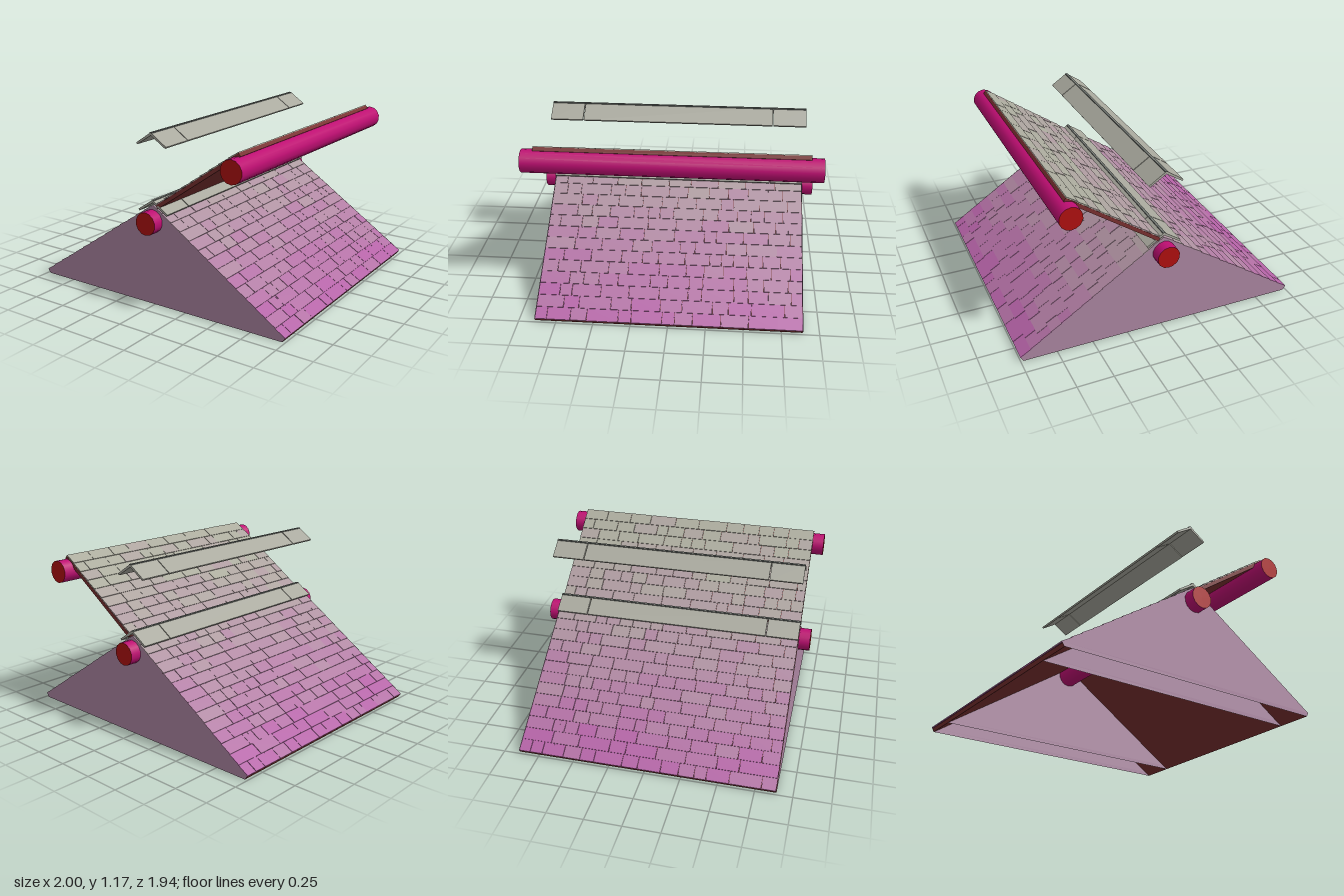
import * as THREE from 'three';
import { mergeGeometries } from 'three/addons/utils/BufferGeometryUtils.js';

const DEPTH = 1.78;              // roof length along z
const SLOPE = Math.atan(0.67);   // pitch of the roof
const mat = (color, extra = {}) => new THREE.MeshStandardMaterial({ color, ...extra });

const board = mat(0x7a3030);
const gable = mat(0xac86a2, { side: THREE.DoubleSide });
const capMat = mat(0xa9a99e);
const bark = mat(0xbe0e72);
const logEnd = mat(0xb01010);

// Shingle colours from the eave up to the weathered ridge
const STEPS = 8;
const shingleMats = Array.from({ length: STEPS }, (_, i) => {
  const t = i / (STEPS - 1);
  return mat(new THREE.Color(0xb462a6).lerp(new THREE.Color(0xabab9d), t));
});

function seeded(seed) {
  return () => (seed = (seed * 16807) % 2147483647) / 2147483647;
}

function add(parent, name, geometry, material, x = 0, y = 0, z = 0) {
  const mesh = new THREE.Mesh(geometry, material);
  mesh.name = name;
  mesh.position.set(x, y, z);
  parent.add(mesh);
  return mesh;
}

// One roof plane: local x runs up the slope, local y is its normal.
// Tones from and to choose the colours at the lower and upper edge.
function roofPlane(name, length, rows, from, to, seed) {
  const group = new THREE.Group();
  group.name = name;
  add(group, 'roofBoard', new THREE.BoxGeometry(length, 0.026, DEPTH), board, length / 2, -0.023, 0);

  const rand = seeded(seed);
  const buckets = shingleMats.map(() => []);
  const rowLength = length / rows;
  for (let r = 0; r < rows; r++) {
    let z = -DEPTH / 2;
    while (z < DEPTH / 2 - 0.001) {
      let width = 0.08 + 0.14 * rand();
      if (z + width > DEPTH / 2 - 0.06) width = DEPTH / 2 - z;
      const g = new THREE.BoxGeometry(rowLength, 0.008, width - 0.003);
      g.rotateZ(-0.05);
      g.translate((r + 0.5) * rowLength, -0.007 + 0.002 * rand(), z + width / 2);
      const tone = from + (to - from) * (r / (rows - 1)) + (rand() - 0.5) * 0.2;
      buckets[THREE.MathUtils.clamp(Math.round(tone * (STEPS - 1)), 0, STEPS - 1)].push(g);
      z += width;
    }
  }
  buckets.forEach((list, i) => {
    if (list.length) add(group, 'shingles', mergeGeometries(list), shingleMats[i]);
  });
  return group;
}

// Folded ridge cap in three lengths with narrow seams
function ridgeCap(name, top) {
  const group = new THREE.Group();
  group.name = name;
  group.position.y = top;
  const w = 0.12, drop = 0.08, t = 0.016;
  const profile = new THREE.Shape([
    [0, 0], [-w, -drop], [-w + 0.008, -drop - 0.011], [0, -t - 0.004],
    [w - 0.008, -drop - 0.011], [w, -drop],
  ].map(([x, y]) => new THREE.Vector2(x, y)));
  for (const [z0, z1] of [[-0.89, -0.664], [-0.658, 0.658], [0.664, 0.89]]) {
    const g = new THREE.ExtrudeGeometry(profile, { depth: z1 - z0, bevelEnabled: false });
    add(group, 'capLength', g, capMat, 0, 0, z0);
  }
  // Dark joint along the fold
  add(group, 'capJoint', new THREE.BoxGeometry(0.018, 0.008, DEPTH), mat(0x666b67), 0, -0.0045, 0);
  return group;
}

function log(parent, name, x, y) {
  const g = new THREE.CylinderGeometry(0.078, 0.078, 1.94, 14);
  g.rotateX(Math.PI / 2);
  add(parent, name, g, [bark, logEnd, logEnd], x, y, 0);
}

export function createModel() {
  const model = new THREE.Group();
  model.name = 'roof';

  // Two fixed slopes, mirrored by a half turn
  for (const [name, turn, seed] of [['rightSlope', 0, 11], ['leftSlope', Math.PI, 47]]) {
    const side = new THREE.Group();
    side.name = name + 'Side';
    side.rotation.y = turn;
    const plane = roofPlane(name, 1.2, 14, 0.03, 0.68, seed);
    plane.position.set(-1, 0.03, 0);
    plane.rotation.z = SLOPE;
    side.add(plane);
    model.add(side);
  }

  // Raised panel rising from the ridge
  const panel = roofPlane('raisedPanel', 0.77, 9, 0.75, 1, 83);
  panel.position.set(0.02, 0.705, 0);
  panel.rotation.z = 0.605;
  model.add(panel);

  // Gable sheets: an outer and an inner one at each end
  const outline = new THREE.Shape([
    [-0.998, 0.028], [-0.98, 0], [0.98, 0], [0.998, 0.028], [0, 0.695],
  ].map(([x, y]) => new THREE.Vector2(x, y)));
  for (const z of [-0.892, -0.65, 0.65, 0.892]) {
    add(model, Math.abs(z) > 0.8 ? 'outerGable' : 'innerGable', new THREE.ShapeGeometry(outline), gable, 0, 0, z);
  }

  // Ridge caps: one seated, one floating above
  model.add(ridgeCap('ridgeCap', 0.73), ridgeCap('floatingCap', 1.175));

  // Log beams
  log(model, 'ridgeLog', 0, 0.588);
  log(model, 'panelLog', 0.658, 1.034);

  return model;
}
